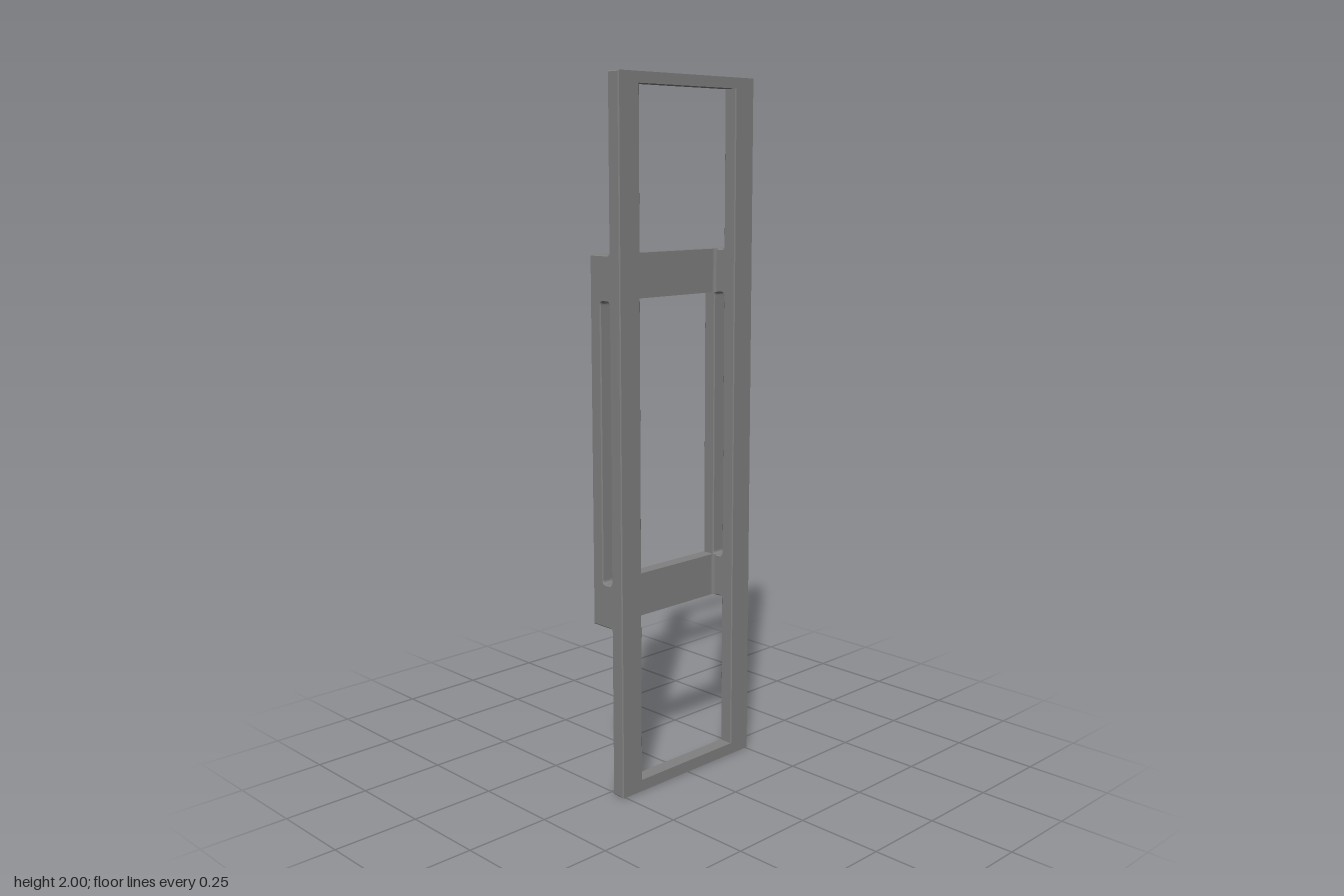
import * as THREE from 'three';

const Z_IN = 0.184, Z_OUT = 0.259;      // side post inner and outer faces
const X_BACK = -0.06, X_MID = -0.02, X_STEP = 0.016, X_FRONT = 0.058;
const LOW = [0.49, 0.615], HIGH = [1.4, 1.525];  // heights of the raised crossbars
const B = 0.003;                        // edge bevel

// side profile: tall rail with a raised handle section and a long rounded slot
function postGeometry() {
  const f = 0.008;
  const s = new THREE.Shape();
  s.moveTo(X_STEP, 0);
  s.lineTo(X_FRONT, 0);
  s.lineTo(X_FRONT, 2);
  s.lineTo(X_STEP, 2);
  s.lineTo(X_STEP, HIGH[1] + f);
  s.quadraticCurveTo(X_STEP, HIGH[1], X_STEP - f, HIGH[1]);
  s.lineTo(X_BACK, HIGH[1]);
  s.lineTo(X_BACK, LOW[0]);
  s.lineTo(X_STEP - f, LOW[0]);
  s.quadraticCurveTo(X_STEP, LOW[0], X_STEP, LOW[0] - f);
  s.closePath();

  const r = 0.01, x0 = X_MID, x1 = X_STEP, y0 = LOW[1], y1 = HIGH[0];
  const slot = new THREE.Path();
  slot.moveTo(x0, y0 + r);
  slot.lineTo(x0, y1 - r);
  slot.quadraticCurveTo(x0, y1, x0 + r, y1);
  slot.lineTo(x1 - r, y1);
  slot.quadraticCurveTo(x1, y1, x1, y1 - r);
  slot.lineTo(x1, y0 + r);
  slot.quadraticCurveTo(x1, y0, x1 - r, y0);
  slot.lineTo(x0 + r, y0);
  slot.quadraticCurveTo(x0, y0, x0, y0 + r);
  s.holes.push(slot);

  const g = new THREE.ExtrudeGeometry(s, {
    depth: Z_OUT - Z_IN - 2 * B, bevelEnabled: true, bevelSegments: 1,
    bevelSize: B, bevelThickness: B, bevelOffset: -B, curveSegments: 5,
  });
  return g.translate(0, 0, B - (Z_OUT - Z_IN) / 2);
}

// raised crossbar: plan outline with filleted inner corners, extruded upward
function crossbarGeometry(height) {
  const r = 0.01, e = Z_IN + 0.01;
  const s = new THREE.Shape();
  s.moveTo(X_BACK, -e);
  s.lineTo(X_MID + r, -e);
  s.lineTo(X_MID + r, -Z_IN);
  s.quadraticCurveTo(X_MID, -Z_IN, X_MID, -Z_IN + r);
  s.lineTo(X_MID, Z_IN - r);
  s.quadraticCurveTo(X_MID, Z_IN, X_MID + r, Z_IN);
  s.lineTo(X_MID + r, e);
  s.lineTo(X_BACK, e);
  s.closePath();
  const g = new THREE.ExtrudeGeometry(s, { depth: height, bevelEnabled: false, curveSegments: 5 });
  return g.rotateX(-Math.PI / 2);
}

export function createModel() {
  const group = new THREE.Group();
  const grey = new THREE.MeshStandardMaterial({ color: 0x808080 });
  grey.name = 'grey';
  const add = (name, geometry, x, y, z) => {
    const m = new THREE.Mesh(geometry, grey);
    m.name = name;
    m.position.set(x, y, z);
    group.add(m);
  };

  // two side posts
  const post = postGeometry();
  const zc = (Z_IN + Z_OUT) / 2;
  add('frontPost', post, 0, 0, zc);
  add('backPost', post, 0, 0, -zc);

  // thin rails closing the tall frame
  for (const [name, y0, y1] of [['bottomRail', 0, 0.034], ['topRail', 1.97, 2]]) {
    const g = new THREE.BoxGeometry(X_FRONT - X_STEP, y1 - y0, 2 * Z_IN + 0.02);
    add(name, g, (X_FRONT + X_STEP) / 2, (y0 + y1) / 2, 0);
  }

  // crossbars of the raised frame
  for (const [name, [y0, y1]] of [['lowerCrossbar', LOW], ['upperCrossbar', HIGH]]) {
    add(name, crossbarGeometry(y1 - y0), 0, y0, 0);
  }
  return group;
}
